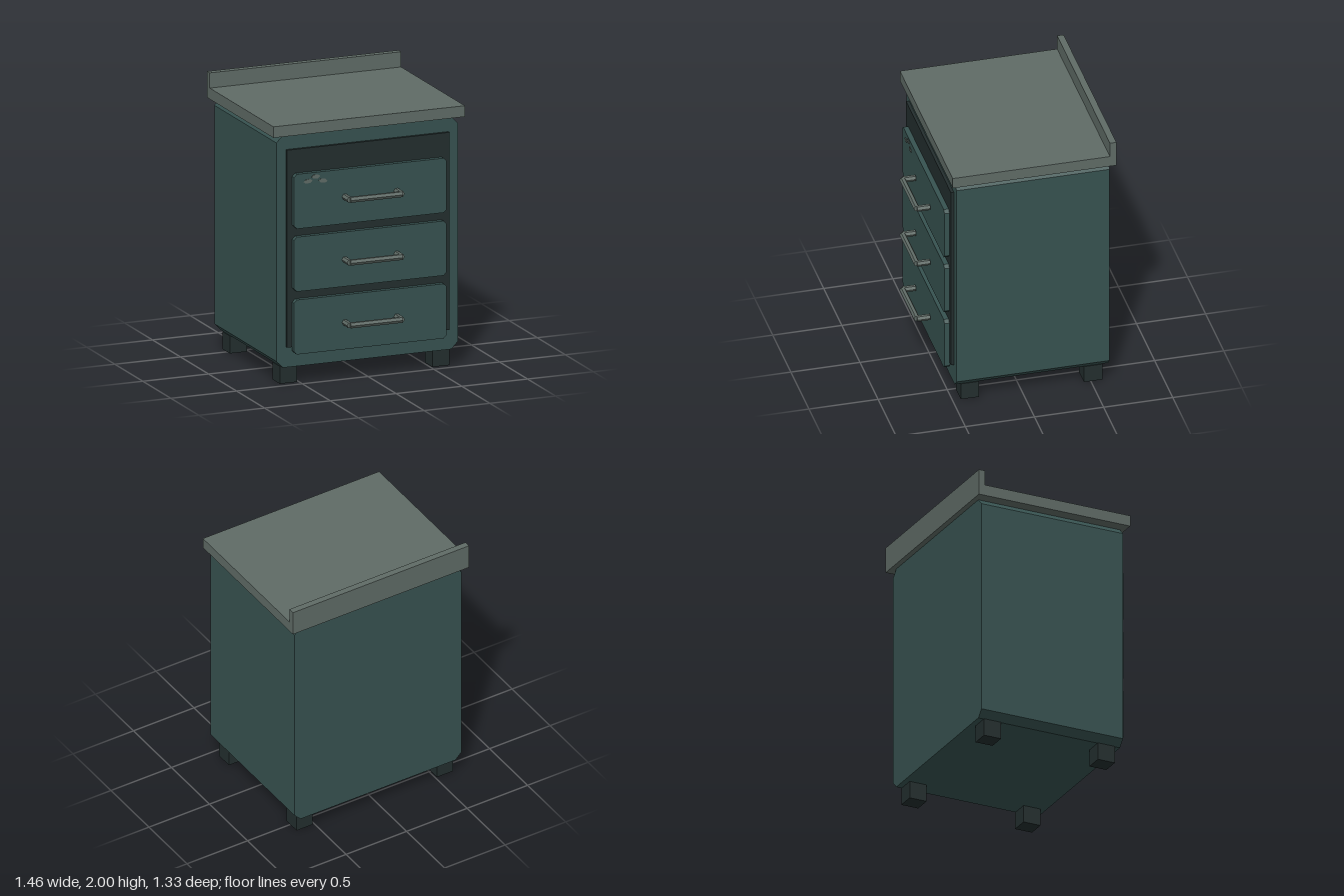
import * as THREE from 'three';

const mat = (name, color) => {
  const m = new THREE.MeshStandardMaterial({ color });
  m.name = name;
  return m;
};

export function createModel() {
  const teal = mat('teal paint', 0x375250);
  const grey = mat('grey worktop and metal', 0x5f6b66);
  const dark = mat('dark recess and feet', 0x232e2e);
  const root = new THREE.Group();
  root.name = 'drawerCabinet';

  const add = (name, geometry, material, parent = root) => {
    const mesh = new THREE.Mesh(geometry, material);
    mesh.name = name;
    parent.add(mesh);
    return mesh;
  };
  // Box given by its minimum and maximum on each axis
  const box = (name, material, x0, x1, y0, y1, z0, z1) =>
    add(name, new THREE.BoxGeometry(x1 - x0, y1 - y0, z1 - z0), material)
      .position.set((x0 + x1) / 2, (y0 + y1) / 2, (z0 + z1) / 2);
  // Slab with cut corners, extruded from z0 to z1
  const slab = (name, material, w, y0, y1, c, z0, z1, parent) => {
    const shape = new THREE.Shape([
      [-w + c, y0], [w - c, y0], [w, y0 + c], [w, y1 - c],
      [w - c, y1], [-w + c, y1], [-w, y1 - c], [-w, y0 + c],
    ].map(([x, y]) => new THREE.Vector2(x, y)));
    const g = new THREE.ExtrudeGeometry(shape, { depth: z1 - z0, bevelEnabled: false });
    add(name, g.translate(0, 0, z0), material, parent);
  };

  // Carcass, front recess panel and worktop
  slab('carcass', teal, 0.69, 0.127, 1.81, 0.05, -0.625, 0.483);
  box('recessPanel', dark, -0.618, 0.618, 0.275, 1.705, 0.47, 0.505);
  box('worktop', grey, -0.728, 0.728, 1.81, 1.89, -0.664, 0.52);
  box('backsplash', grey, -0.728, 0.728, 1.89, 2, -0.664, -0.617);

  // Feet
  for (const x of [-0.58, 0.58])
    for (const z of [-0.517, 0.374])
      box('foot', dark, x - 0.066, x + 0.066, 0, 0.127, z - 0.066, z + 0.066);

  // Six-sided rod along z or x
  const rod = (length) => {
    const g = new THREE.CylinderGeometry(0.022, 0.022, length, 6).toNonIndexed();
    g.computeVertexNormals();
    return g;
  };

  // Drawers with bar handles
  for (const y of [0.228, 0.683, 1.138]) {
    const drawer = new THREE.Group();
    drawer.name = 'drawer';
    root.add(drawer);
    slab('drawerFront', teal, 0.58, y, y + 0.395, 0.022, 0.5, 0.541, drawer);
    const hy = y + 0.197;
    for (const x of [-0.197, 0.197]) {
      const g = rod(0.093).rotateY(Math.PI / 2).rotateX(Math.PI / 2);
      add('handlePost', g, grey, drawer).position.set(x, hy, 0.5935);
    }
    add('handleBar', rod(0.394).rotateZ(Math.PI / 2), grey, drawer).position.set(0, hy, 0.64);
  }

  // Chips of worn paint on the top drawer
  for (const [x, y, tilt] of [[-0.475, 1.474, 0.1], [-0.415, 1.503, 0], [-0.36, 1.468, -0.15]]) {
    const g = new THREE.CylinderGeometry(1, 1, 0.004, 6).rotateX(Math.PI / 2).rotateZ(Math.PI / 6);
    g.scale(0.034, 0.016, 1).rotateZ(tilt);
    add('paintChip', g, grey).position.set(x, y, 0.542);
  }
  return root;
}
